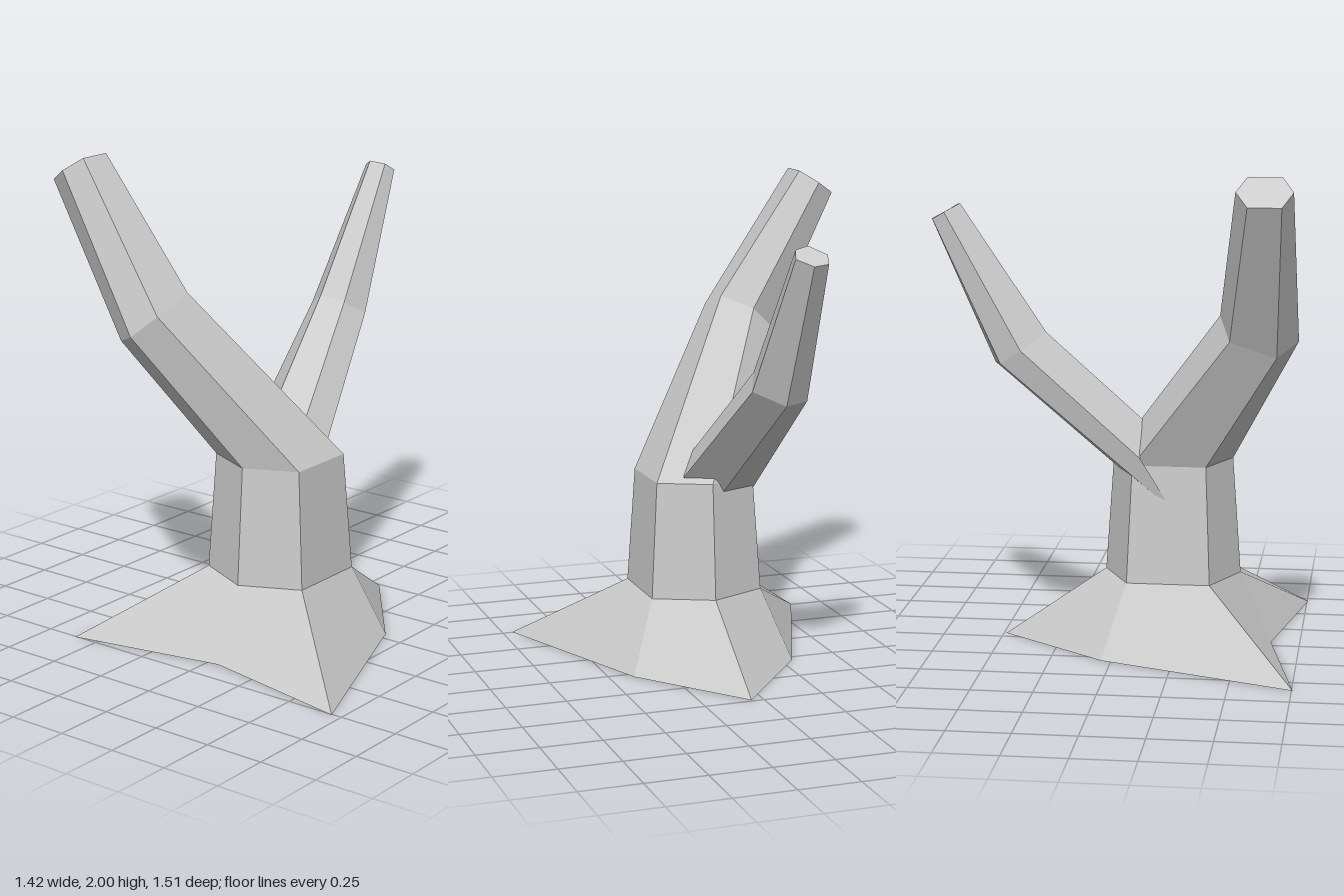
import * as THREE from 'three';

const bark = new THREE.MeshStandardMaterial({ color: 0xcccccc, side: THREE.DoubleSide });

// Skin a list of six-point rings, each side evenly shaded; optionally close the last ring
function loft(name, rings, capped) {
  const positions = [], normals = [];
  const addFace = (corners, normal) => {
    for (let k = 1; k < corners.length - 1; k++) {
      for (const p of [corners[0], corners[k], corners[k + 1]]) {
        positions.push(p.x, p.y, p.z);
        normals.push(normal.x, normal.y, normal.z);
      }
    }
  };
  // The normal comes from two diagonals, so a slightly twisted side still reads as one facet
  const facing = (a, b, c, d) => c.clone().sub(a).cross(d.clone().sub(b)).normalize();

  const loops = rings.map((ring) => ring.map((p) => new THREE.Vector3(...p)));
  for (let r = 0; r < loops.length - 1; r++) {
    const low = loops[r], high = loops[r + 1];
    for (let i = 0; i < low.length; i++) {
      const j = (i + 1) % low.length;
      const side = [low[j], high[j], high[i], low[i]];
      addFace(side, facing(...side));
    }
  }
  if (capped) {
    const end = loops[loops.length - 1];
    addFace(end, facing(end[0], end[1], end[3], end[4]));
  }

  const geometry = new THREE.BufferGeometry();
  geometry.setAttribute('position', new THREE.Float32BufferAttribute(positions, 3));
  geometry.setAttribute('normal', new THREE.Float32BufferAttribute(normals, 3));
  const mesh = new THREE.Mesh(geometry, bark);
  mesh.name = name;
  return mesh;
}

// Level ring mirrored about x = 0.05: front point, front pair, back pair, back point
function levelRing(y, front, [fx, fz], [bx, bz], back) {
  const c = 0.05;
  return [
    [c, y, front], [c + fx, y, fz], [c + bx, y, bz],
    [c, y, back], [c - bx, y, bz], [c - fx, y, fz],
  ];
}

export function createModel() {
  const tree = new THREE.Group();
  tree.name = 'bareTree';

  const foot = levelRing(0, 0.63, [0.657, 0.755], [0.35, -0.04], -0.49);
  const collar = levelRing(0.3, 0.5, [0.24, 0.39], [0.24, 0.05], -0.063);
  const fork = levelRing(0.785, 0.465, [0.21, 0.37], [0.21, 0.07], -0.03);

  // Main branch: elbow and tip
  const elbow = [
    [-0.28, 1.33, 0.745], [-0.175, 1.42, 0.705], [-0.18, 1.48, 0.515],
    [-0.3, 1.43, 0.435], [-0.4, 1.34, 0.48], [-0.4, 1.28, 0.665],
  ];
  const tip = [
    [-0.625, 1.95, 0.735], [-0.555, 2, 0.69], [-0.555, 2, 0.555],
    [-0.63, 1.95, 0.515], [-0.71, 1.9, 0.565], [-0.71, 1.9, 0.695],
  ];

  // Rear branch: starts inside the trunk, bends, then narrows to the tip
  const rearRoot = [
    [-0.06, 0.96, 0.1], [0.09, 0.91, 0.1], [0.175, 0.74, 0.11],
    [0.03, 0.56, 0.2], [-0.165, 0.61, 0.23], [-0.185, 0.82, 0.105],
  ];
  const rearElbow = [
    [-0.12, 1.32, -0.285], [-0.02, 1.3, -0.315], [0.02, 1.24, -0.41],
    [-0.09, 1.19, -0.5], [-0.19, 1.2, -0.465], [-0.23, 1.26, -0.375],
  ];
  const rearTip = [
    [-0.12, 1.84, -0.635], [-0.06, 1.83, -0.66], [-0.043, 1.8, -0.705],
    [-0.1, 1.775, -0.755], [-0.165, 1.78, -0.74], [-0.18, 1.81, -0.69],
  ];

  tree.add(
    loft('rootFlare', [foot, collar], false),
    loft('trunk', [collar, fork], false),
    loft('mainBranch', [fork, elbow, tip], true),
    loft('rearBranch', [rearRoot, rearElbow, rearTip], true),
  );
  return tree;
}
